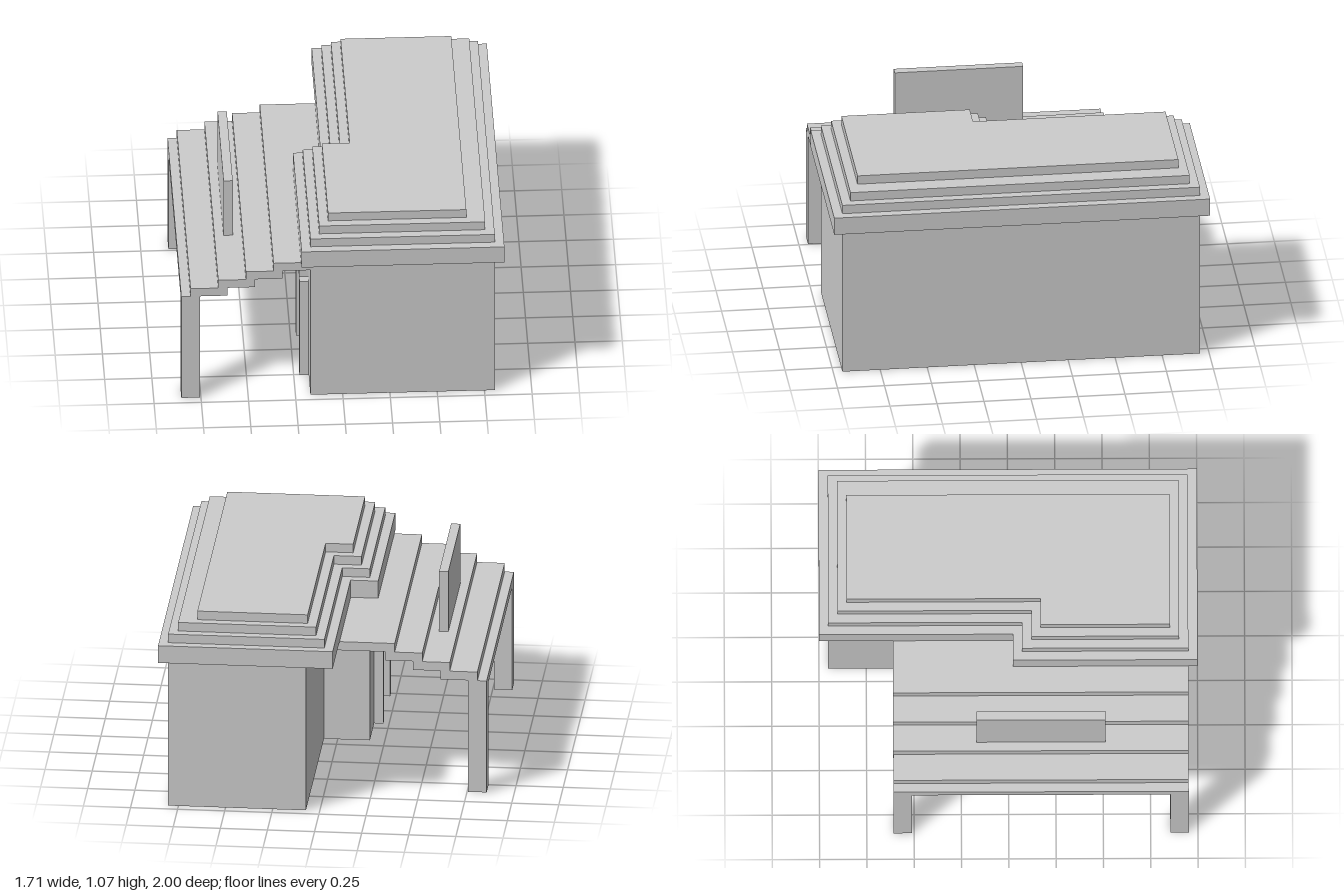
import * as THREE from 'three';

// Everything sits on a cell grid: 35 wide (x), 22 high (y), 41 deep (z)
const U = 2 / 41;
const material = new THREE.MeshStandardMaterial({ color: 0xcccccc, flatShading: true });
const px = (i) => (i - 17.5) * U;
const pz = (k) => (k - 20.5) * U;

// Box between two grid corners
function block(name, [x0, x1], [y0, y1], [z0, z1]) {
  const mesh = new THREE.Mesh(
    new THREE.BoxGeometry((x1 - x0) * U, (y1 - y0) * U, (z1 - z0) * U), material);
  mesh.position.set(px((x0 + x1) / 2), ((y0 + y1) / 2) * U, pz((z0 + z1) / 2));
  mesh.name = name;
  return mesh;
}

// L-shaped slab: the back corner x < notchX, z < notchZ is cut away
function lSlab(name, [x0, x1], [y0, y1], [z0, z1], notchX, notchZ) {
  const outline = [[x0, z1], [x1, z1], [x1, z0], [notchX, z0], [notchX, notchZ], [x0, notchZ]];
  const shape = new THREE.Shape(outline.map(([i, k]) => new THREE.Vector2(px(i), -pz(k))));
  const geometry = new THREE.ExtrudeGeometry(shape, { depth: (y1 - y0) * U, bevelEnabled: false });
  geometry.rotateX(-Math.PI / 2);
  const mesh = new THREE.Mesh(geometry, material);
  mesh.position.y = y0 * U;
  mesh.name = name;
  return mesh;
}

export function createModel() {
  const model = new THREE.Group();
  model.name = 'shop';

  // Walls
  model.add(lSlab('walls', [14, 34], [0, 17], [1, 40], 19, 22));

  // Stepped roof
  const roof = new THREE.Group();
  roof.name = 'roof';
  roof.add(lSlab('eaves', [13, 35], [17, 19], [0, 41], 16, 21));
  for (let i = 1; i <= 3; i++) {
    const right = i === 3 ? 31 : 35 - i;
    roof.add(lSlab('roofTier' + i, [13 + i, right], [18 + i, 19 + i], [i, 41 - i], 16 + i, 21 + i));
  }
  model.add(roof);

  // Stepped porch canopy
  const porch = new THREE.Group();
  porch.name = 'porch';
  for (let i = 0; i < 4; i++) {
    porch.add(block('canopyStep' + (i + 1), [1 + 3 * i, 5 + 3 * i], [13 + i, 14 + i], [8, 40]));
  }
  porch.add(block('canopyInfill', [14, 19], [16, 17], [8, 22]));
  porch.add(block('porchBeam', [0, 2], [12, 13], [8, 40]));
  for (const z of [8, 38]) porch.add(block('porchPost', [0, 2], [0, 12], [z, z + 2]));
  model.add(porch);

  // Upright board on the canopy
  model.add(block('signBoard', [5, 6], [15, 22], [17, 31]));

  // Stepped door arch on the porch wall
  const arch = new THREE.Group();
  arch.name = 'doorArch';
  for (const side of [-1, 1]) {
    const post = 31.5 + side * 4;
    const shoulder = 31.5 + side * 3;
    arch.add(block('doorPost', [13, 14], [0, 12], [post - 0.5, post + 0.5]));
    arch.add(block('doorShoulder', [13, 14], [12, 13], [shoulder - 0.5, shoulder + 0.5]));
  }
  arch.add(block('doorLintel', [13, 14], [13, 14], [29, 34]));
  model.add(arch);

  return model;
}
